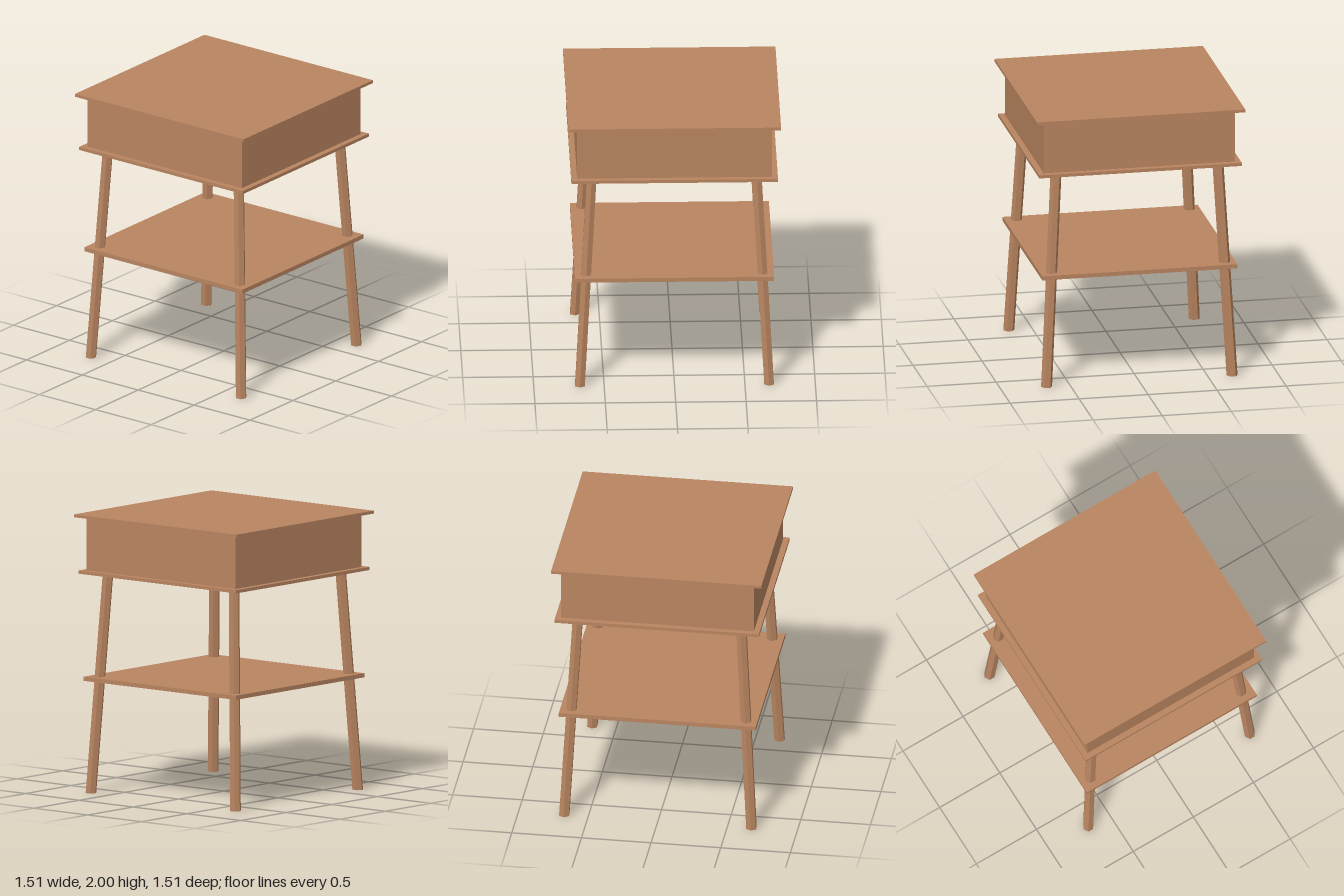
import * as THREE from 'three';

export function createModel() {
  const model = new THREE.Group();
  model.name = 'sideTable';
  const wood = new THREE.MeshStandardMaterial({ color: 0xb98560 });
  wood.name = 'warm wood';

  // Square slab centred on the vertical axis, between two heights
  function addSlab(name, width, bottom, top) {
    const slab = new THREE.Mesh(new THREE.BoxGeometry(width, top - bottom, width), wood);
    slab.name = name;
    slab.position.y = (bottom + top) / 2;
    model.add(slab);
  }
  addSlab('tableTop', 1.51, 1.979, 2);
  addSlab('drawerBox', 1.384, 1.597, 1.979);
  addSlab('boxBase', 1.468, 1.574, 1.597);
  addSlab('lowerShelf', 1.414, 0.804, 0.834);

  // Hexagonal legs, splayed outwards by shearing so that both ends stay level
  const height = 1.574, foot = 0.672, head = 0.586;
  for (const sx of [-1, 1]) {
    for (const sz of [-1, 1]) {
      const geometry = new THREE.CylinderGeometry(0.04, 0.04, height, 6).toNonIndexed();
      geometry.rotateY(Math.PI / 2);
      geometry.translate(0, height / 2, 0);
      const p = geometry.attributes.position;
      for (let i = 0; i < p.count; i++) {
        const offset = THREE.MathUtils.lerp(foot, head, p.getY(i) / height);
        p.setX(i, p.getX(i) + sx * offset - 0.003);
        p.setZ(i, p.getZ(i) + sz * offset);
      }
      geometry.computeVertexNormals();
      const leg = new THREE.Mesh(geometry, wood);
      leg.name = (sz > 0 ? 'front' : 'back') + (sx > 0 ? 'Left' : 'Right') + 'Leg';
      model.add(leg);
    }
  }
  return model;
}
